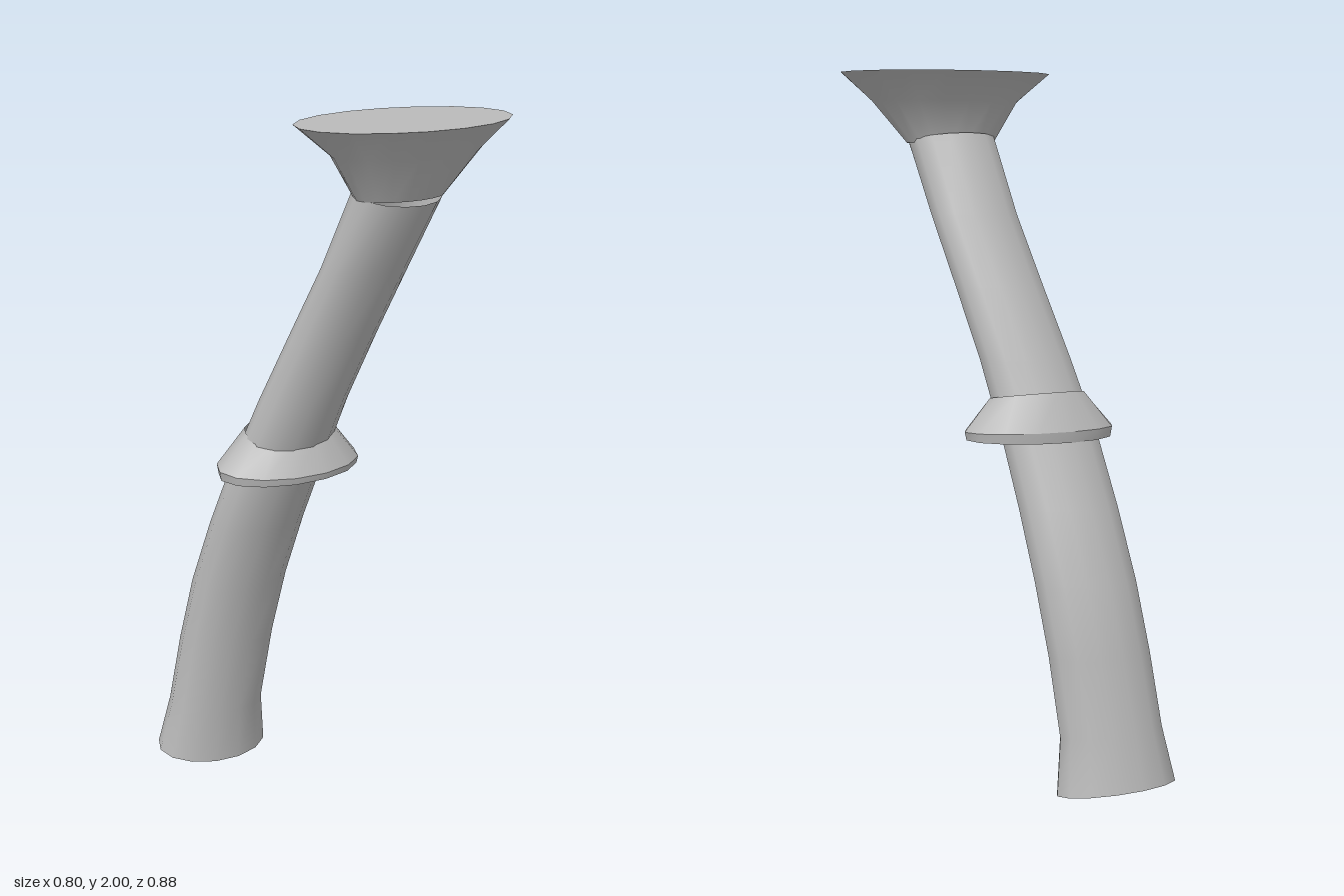
import * as THREE from 'three';

// Lofts elliptical rings given as [y, cx, cz, rx, rz, slopeX, slopeZ], bottom to top.
function loft(rings, sides) {
  const pos = [], idx = [];
  rings.forEach(([y, cx, cz, rx, rz, sx = 0, sz = 0]) => {
    for (let j = 0; j < sides; j++) {
      const a = (j / sides) * Math.PI * 2;
      const dx = rx * Math.cos(a), dz = rz * Math.sin(a);
      pos.push(cx + dx, y + sx * dx + sz * dz, cz + dz);
    }
  });
  for (let i = 0; i < rings.length - 1; i++) {
    for (let j = 0; j < sides; j++) {
      const k = (j + 1) % sides;
      const a = i * sides + j, b = i * sides + k, c = a + sides, d = b + sides;
      idx.push(a, c, b, b, c, d);
    }
  }
  return build(pos, idx);
}

// Flat disc closing one ring, facing up or down.
function cap([y, cx, cz, rx, rz, sx = 0, sz = 0], sides, up) {
  const pos = [cx, y, cz], idx = [];
  for (let j = 0; j < sides; j++) {
    const a = (j / sides) * Math.PI * 2;
    const dx = rx * Math.cos(a), dz = rz * Math.sin(a);
    pos.push(cx + dx, y + sx * dx + sz * dz, cz + dz);
    const p = 1 + j, q = 1 + (j + 1) % sides;
    idx.push(0, up ? q : p, up ? p : q);
  }
  return build(pos, idx);
}

function build(pos, idx) {
  const g = new THREE.BufferGeometry();
  g.setAttribute('position', new THREE.Float32BufferAttribute(pos, 3));
  g.setIndex(idx);
  g.computeVertexNormals();
  return g;
}

export function createModel() {
  const model = new THREE.Group();
  const stone = new THREE.MeshStandardMaterial({ color: 0xbababa, side: THREE.DoubleSide });
  stone.name = 'grey stone';
  const add = (name, geometry) => {
    const mesh = new THREE.Mesh(geometry, stone);
    mesh.name = name;
    model.add(mesh);
  };

  // Leaning, curved shaft with a flared foot
  const shaft = [
    [0.022, -0.225, -0.333, 0.175, 0.112, -0.05, -0.17],
    [0.18, -0.215, -0.315, 0.15, 0.097, -0.05, -0.17],
    [0.4, -0.19, -0.283, 0.149, 0.102],
    [0.6, -0.163, -0.242, 0.148, 0.104],
    [0.8, -0.135, -0.176, 0.145, 0.103],
    [0.98, -0.108, -0.105, 0.142, 0.101],
    [1.2, -0.059, -0.028, 0.134, 0.096],
    [1.4, -0.009, 0.051, 0.13, 0.092],
    [1.6, 0.038, 0.139, 0.128, 0.089],
    [1.81, 0.077, 0.234, 0.128, 0.087, -0.03, -0.24],
  ];
  add('shaft', loft(shaft, 14));
  add('shaftFoot', cap(shaft[0], 14, false));

  // Hollow collar around the middle
  const rim = [1.005, -0.084, -0.076, 0.219, 0.14, -0.01, -0.04];
  add('collarRim', loft([[0.98, -0.084, -0.076, 0.214, 0.136], rim], 14));
  add('collarSlope', loft([rim, [1.1, -0.078, -0.075, 0.139, 0.092, -0.03, -0.17]], 14));

  // Flared capital with a flat top
  const top = [2, 0.09, 0.243, 0.31, 0.2];
  add('capital', loft([
    [1.803, 0.079, 0.241, 0.13, 0.078],
    [1.92, 0.09, 0.255, 0.217, 0.125],
    top,
  ], 18));
  add('capitalTop', cap(top, 18, true));
  return model;
}
